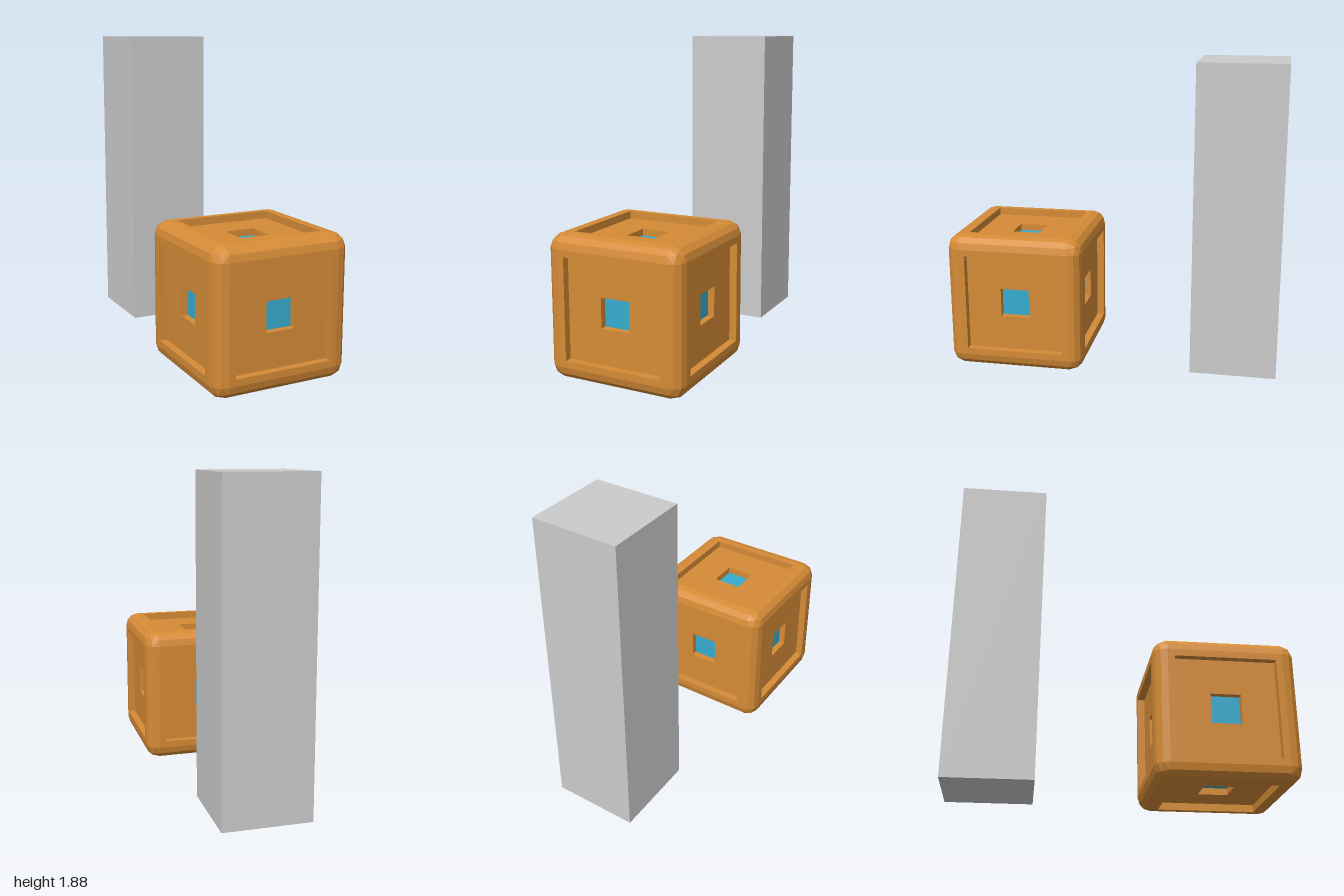
import * as THREE from 'three';
import { ConvexGeometry } from 'three/addons/geometries/ConvexGeometry.js';

const HALF = 0.417, BEVEL = 0.08, FLAT = HALF - BEVEL;
const PANEL = 0.297, PANEL_DEPTH = 0.045; // sunken square on each face
const HOLE = 0.088, HOLE_DEPTH = 0.04;    // small socket in its middle

const orange = new THREE.MeshStandardMaterial({ color: 0xd58b36, flatShading: true, side: THREE.DoubleSide });
const blue = new THREE.MeshStandardMaterial({ color: 0x35acd0 });
const grey = new THREE.MeshStandardMaterial({ color: 0xcccccc });

function add(parent, name, geometry, material, x = 0, y = 0, z = 0) {
  const mesh = new THREE.Mesh(geometry, material);
  mesh.name = name;
  mesh.position.set(x, y, z);
  parent.add(mesh);
  return mesh;
}

// Three-segment bevels and corners: hull of the corner points without its six flat faces
function bevelGeometry() {
  const points = [];
  const step = (n) => Math.sin(n * Math.PI / 6);
  for (const sx of [-1, 1]) for (const sy of [-1, 1]) for (const sz of [-1, 1]) {
    const sign = new THREE.Vector3(sx, sy, sz);
    for (let i = 0; i <= 3; i++) for (let j = 0; j <= 3 - i; j++) {
      const p = new THREE.Vector3(step(i), step(j), step(3 - i - j)).setLength(BEVEL);
      points.push(p.addScalar(FLAT).multiply(sign));
    }
  }
  const hull = new ConvexGeometry(points);
  const pos = hull.attributes.position.array, nor = hull.attributes.normal.array;
  const kept = [];
  for (let i = 0; i < pos.length; i += 9) {
    const steepest = Math.max(Math.abs(nor[i]), Math.abs(nor[i + 1]), Math.abs(nor[i + 2]));
    if (steepest < 0.999) kept.push(...pos.slice(i, i + 9));
  }
  const geometry = new THREE.BufferGeometry();
  geometry.setAttribute('position', new THREE.Float32BufferAttribute(kept, 3));
  geometry.computeVertexNormals();
  return geometry;
}

// Flat square ring
function ringGeometry(outer, inner) {
  const square = (h) => [[-h, -h], [h, -h], [h, h], [-h, h]].map(([x, y]) => new THREE.Vector2(x, y));
  const shape = new THREE.Shape(square(outer));
  shape.holes.push(new THREE.Path(square(inner).reverse()));
  return new THREE.ShapeGeometry(shape);
}

// Four walls of a square recess, along z
function wallGeometry(half, depth) {
  const r = half * Math.SQRT2;
  return new THREE.CylinderGeometry(r, r, depth, 4, 1, true).rotateY(Math.PI / 4).rotateX(Math.PI / 2);
}

// One cube face, looking along +z
function createFace() {
  const face = new THREE.Group();
  face.name = 'cubeFace';
  const floor = HALF - PANEL_DEPTH;
  add(face, 'faceFrame', ringGeometry(FLAT, PANEL), orange, 0, 0, HALF);
  add(face, 'panelWalls', wallGeometry(PANEL, PANEL_DEPTH), orange, 0, 0, HALF - PANEL_DEPTH / 2);
  add(face, 'panelFloor', ringGeometry(PANEL, HOLE), orange, 0, 0, floor);
  add(face, 'socketWalls', wallGeometry(HOLE, HOLE_DEPTH), orange, 0, 0, floor - HOLE_DEPTH / 2);
  add(face, 'socketFloor', new THREE.PlaneGeometry(HOLE * 2, HOLE * 2), blue, 0, 0, floor - HOLE_DEPTH);
  return face;
}

export function createModel() {
  const model = new THREE.Group();
  model.name = 'cubeAndPillar';

  // Rounded cube with the same sunken panel on all six sides
  const cube = new THREE.Group();
  cube.name = 'cube';
  cube.position.set(0, HALF, 1 - HALF);
  add(cube, 'cubeBevels', bevelGeometry(), orange);
  const q = Math.PI / 2;
  for (const [rx, ry] of [[0, 0], [0, q], [0, 2 * q], [0, -q], [q, 0], [-q, 0]]) {
    const face = createFace();
    face.rotation.set(rx, ry, 0);
    cube.add(face);
  }
  model.add(cube);

  // Plain pillar behind it
  add(model, 'pillar', new THREE.BoxGeometry(0.52, 1.88, 0.52), grey, 0, 0.94, -0.74);
  return model;
}
